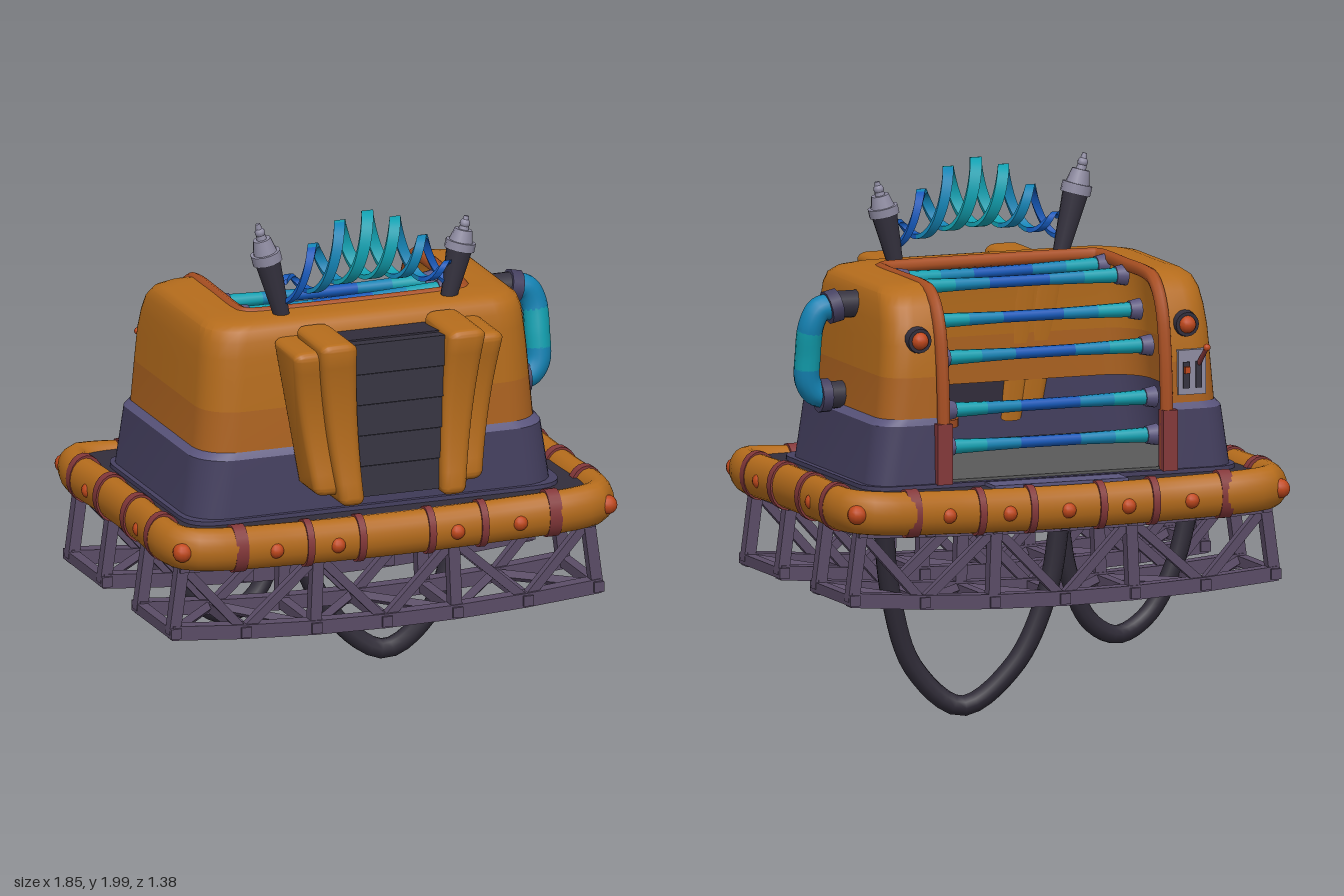
import * as THREE from 'three';
import { toCreasedNormals } from 'three/addons/utils/BufferGeometryUtils.js';

const V = (x, y, z) => new THREE.Vector3(x, y, z);
const lerp = THREE.MathUtils.lerp;
const C = {
  orange: 0xb56c1c, amber: 0xad6320, rust: 0xa6581f, trim: 0xa84f22, band: 0x84383a, bulb: 0xc0481c, purple: 0x454060,
  lilac: 0x5b567e, deck: 0x322e3c, truss: 0x5a4c66, hose: 0x2f2b37, grille: 0x35323f, metal: 0x8f8ca2,
  teal: 0x12a0b0, mid: 0x1483b4, blue: 0x1558b8, floor: 0x5a5a5a,
};

export function createModel() {
  const root = new THREE.Group();
  const add = (name, geo, color, opt = {}) => {
    const m = new THREE.Mesh(geo, new THREE.MeshStandardMaterial({ color, ...opt }));
    m.name = name;
    root.add(m);
    return m;
  };
  const box = (name, color, w, h, d, x, y, z) => {
    const m = add(name, new THREE.BoxGeometry(w, h, d), color);
    m.position.set(x, y, z);
    return m;
  };
  // Stand an upright mesh between two points
  const span = (m, a, b) => {
    m.position.lerpVectors(a, b, 0.5);
    m.quaternion.setFromUnitVectors(V(0, 1, 0), b.clone().sub(a).normalize());
  };
  const rod = (name, color, a, b, r0, r1 = r0, sides = 12) =>
    span(add(name, new THREE.CylinderGeometry(r1, r0, a.distanceTo(b), sides), color), a, b);
  const ball = (name, color, r, x, y, z) => {
    const m = add(name, new THREE.SphereGeometry(r, 12, 8), color);
    m.position.set(x, y, z);
  };
  const tube = (name, color, pts, r, seg = 32, sides = 10, closed = false) =>
    add(name, new THREE.TubeGeometry(new THREE.CatmullRomCurve3(pts, closed), seg, r, sides, closed), color);

  // Float ring, taller than wide: sagging in the middle, pinched on each side
  const tall = 1.34, fat = 0.062;
  const bow = (t, w) => 1 - Math.min(1, (t / w) ** 2);
  const sag = x => 0.832 - 0.03 * bow(x, 0.83);
  const edgeZ = (x, s) => (s > 0 ? 0.582 - 0.02 * bow(x, 0.83) : -0.63 + 0.05 * bow(x, 0.83));
  const edgeX = z => 0.857 - 0.012 * bow(z, 0.55);
  const ring = [];
  const ts = [-0.74, -0.4, 0, 0.4, 0.74], zs = [0.47, 0.2, -0.02, -0.25, -0.51];
  const corner = (sx, z) => ring.push(V(sx * 0.825, 0.832, z));
  ts.forEach(x => ring.push(V(x, sag(x), edgeZ(x, 1))));
  corner(1, 0.55);
  zs.forEach(z => ring.push(V(edgeX(z), 0.832, z)));
  corner(1, -0.595);
  [...ts].reverse().forEach(x => ring.push(V(x, sag(x), edgeZ(x, -1))));
  corner(-1, -0.595);
  [...zs].reverse().forEach(z => ring.push(V(-edgeX(z), 0.832, z)));
  corner(-1, 0.55);
  tube('floatRing', C.orange, ring.map(p => V(p.x, p.y / tall, p.z)), fat, 120, 20, true).scale.y = tall;

  // Straps and bulbs around the float
  const strap = (x, y, z, ry, w) => {
    const m = add('strap', new THREE.CylinderGeometry(0.069, 0.069, w, 20), C.band);
    m.scale.x = tall;
    m.rotation.set(0, ry, Math.PI / 2);
    m.position.set(x, y, z);
  };
  for (const s of [1, -1]) {
    for (const x of [-0.63, -0.35, -0.14, 0.14, 0.35, 0.63]) strap(x, sag(x), edgeZ(x, s), 0, Math.abs(x) > 0.5 ? 0.05 : 0.028);
    for (const z of [-0.43, -0.17, 0.11, 0.37]) strap(s * edgeX(z), 0.832, z, Math.PI / 2, 0.04);
    for (const x of s > 0 ? [-0.49, -0.24, 0.24, 0.49] : [-0.49, -0.24, 0, 0.24, 0.49])
      ball('bulb', C.bulb, 0.03, x, sag(x) - 0.005, edgeZ(x, s) + s * 0.053);
    for (const z of [0.25, -0.28]) ball('bulb', C.bulb, 0.03, s * (edgeX(z) + 0.045), 0.83, z);
    for (const z of [0.59, -0.635]) ball('cornerBulb', C.bulb, 0.037, s * 0.855, 0.83, z);
  }

  // Hull and deck plates
  const slab = (name, color, cx, hx, z0, z1, r, y, h) => {
    const s = new THREE.Shape();
    s.moveTo(-hx + r, -z1).lineTo(hx - r, -z1).quadraticCurveTo(hx, -z1, hx, -z1 + r).lineTo(hx, -z0 - r)
      .quadraticCurveTo(hx, -z0, hx - r, -z0).lineTo(-hx + r, -z0).quadraticCurveTo(-hx, -z0, -hx, -z0 - r)
      .lineTo(-hx, -z1 + r).quadraticCurveTo(-hx, -z1, -hx + r, -z1);
    const m = add(name, new THREE.ExtrudeGeometry(s, { depth: h, bevelEnabled: false, curveSegments: 6 }), color);
    m.rotation.x = -Math.PI / 2;
    m.position.set(cx, y, 0);
  };
  slab('hullBottom', C.rust, 0, 0.84, -0.58, 0.55, 0.1, 0.79, 0.04);
  slab('deck', C.deck, 0, 0.835, -0.585, 0.55, 0.08, 0.83, 0.052);
  const cx = -0.02;
  slab('cabinSill', C.purple, cx, 0.755, -0.465, 0.475, 0.13, 0.88, 0.018);
  slab('cabinFloor', C.floor, cx, 0.7, -0.44, 0.43, 0.1, 0.89, 0.018);
  box('rearStep', C.lilac, 0.54, 0.02, 0.1, 0, 0.885, -0.515);

  // Cabin shell: open C-shaped sections, lofted upwards
  const open = 0.45;
  const section = ([y, hx, zf, zb, rf = 0.14, rb = 0.1]) => {
    const p = [[open, zb]];
    const arc = (ax, az, r, a0) => {
      for (let i = 0; i <= 6; i++) {
        const a = a0 + (i / 6) * Math.PI / 2;
        p.push([ax + r * Math.cos(a), az + r * Math.sin(a)]);
      }
    };
    arc(hx - rb, zb + rb, rb, -Math.PI / 2);
    arc(hx - rf, zf - rf, rf, 0);
    arc(-hx + rf, zf - rf, rf, Math.PI / 2);
    arc(-hx + rb, zb + rb, rb, Math.PI);
    p.push([-open, zb]);
    return p.map(([x, z]) => V(x + cx, y, z));
  };
  const loft = (name, color, rings) => {
    const n = rings[0].length, idx = [];
    for (let j = 0; j < rings.length - 1; j++)
      for (let i = 0; i < n - 1; i++) {
        const a = j * n + i, b = a + n;
        idx.push(a, b, a + 1, a + 1, b, b + 1);
      }
    const g = new THREE.BufferGeometry().setFromPoints(rings.flat());
    g.setIndex(idx);
    add(name, toCreasedNormals(g, 0.6), color, { side: THREE.DoubleSide });
  };
  loft('cabinBase', C.purple, [[0.89, 0.735, 0.458, -0.452], [1.12, 0.703, 0.448, -0.443]].map(section));
  loft('cabinBaseLip', C.lilac, [[1.12, 0.703, 0.448, -0.443], [1.145, 0.682, 0.432, -0.433]].map(section));
  loft('cabinWallLower', C.amber, [[1.12, 0.682, 0.432, -0.433], [1.3, 0.667, 0.425, -0.428]].map(section));
  const upper = [[1.3, 0.667, 0.425, -0.428], [1.42, 0.658, 0.418, -0.42], [1.5, 0.65, 0.412, -0.4], [1.56, 0.643, 0.405, -0.37],
    [1.6, 0.63, 0.39, -0.33], [1.62, 0.605, 0.37, -0.29], [1.63, 0.56, 0.34, -0.25]].map(section);
  upper.push(upper.at(-1).map(p => V(THREE.MathUtils.clamp(p.x, cx - open, cx + open), 1.631, Math.min(p.z, 0.23))));
  loft('cabinWallUpper', C.orange, upper);

  // Trim around the opening
  const side = [[0.9, -0.45], [1.15, -0.447], [1.35, -0.432], [1.48, -0.407], [1.56, -0.365], [1.603, -0.31], [1.615, -0.24], [1.615, -0.05], [1.615, 0.17]];
  const trim = [...side.map(([y, z]) => V(cx + open, y, z)), V(cx + 0.437, 1.615, 0.217), V(cx + 0.39, 1.615, 0.23),
    V(cx - 0.39, 1.615, 0.23), V(cx - 0.437, 1.615, 0.217), ...side.map(([y, z]) => V(cx - open, y, z)).reverse()];
  tube('openingTrim', C.trim, trim, 0.026, 120, 8);
  for (const s of [1, -1]) box('trimFoot', C.band, 0.06, 0.23, 0.05, cx + s * 0.455, 1.01, -0.452);

  // Glowing bars across the opening: y, z at the right end, z at the left end
  for (const [y, za, zb] of [[1.59, 0.14, 0.1], [1.58, -0.06, -0.04], [1.47, -0.2, -0.18], [1.35, -0.31, -0.31], [1.16, -0.35, -0.37], [1.02, -0.37, -0.36]]) {
    const a = V(cx - 0.44, y, za), b = V(cx + 0.42, y, zb), at = t => a.clone().lerp(b, t);
    const stops = [0.04, 0.2, 0.36, 0.64, 0.8, 0.96], rs = [0.029, 0.025, 0.022, 0.022, 0.025, 0.029];
    [C.teal, C.mid, C.blue, C.mid, C.teal].forEach((c, i) => rod('bar', c, at(stops[i]), at(stops[i + 1]), rs[i], rs[i + 1], 10));
    rod('barSocket', C.lilac, at(0), at(0.05), 0.042, 0.034);
    rod('barSocket', C.lilac, at(0.95), at(1), 0.034, 0.042);
  }

  // Stool inside
  rod('stoolPole', C.grille, V(0.27, 0.9, 0.07), V(0.27, 1.05, 0.07), 0.03);
  rod('stoolRim', C.trim, V(0.27, 1.03, 0.07), V(0.27, 1.06, 0.07), 0.1, 0.1, 20);
  rod('stoolSeat', C.purple, V(0.27, 1.05, 0.07), V(0.27, 1.07, 0.07), 0.085, 0.085, 20);

  // Front vent: slats between padded cheeks
  box('ventCore', C.deck, 0.4, 0.59, 0.16, 0, 1.28, 0.512).rotation.x = -0.08;
  for (let i = 0; i < 5; i++) box('ventSlat', C.grille, 0.4, 0.116, 0.06, 0, 1.04 + i * 0.12, 0.607).rotation.x = -0.08;
  // Side profile with a hollow front, its width tapering downwards between inner and outer edges
  const pad = (name, s, [y0, y1], zFront, [in0, out0], [in1, out1]) => {
    const b = 0.03, r = 0.035, w = 0.1;
    const p = new THREE.Shape().moveTo(0.445, y0).lineTo(zFront - r, y0).quadraticCurveTo(zFront, y0, zFront, y0 + r)
      .quadraticCurveTo(zFront - 0.06, (y0 + y1) / 2, zFront, y1 - r).quadraticCurveTo(zFront, y1, zFront - r, y1).lineTo(0.405, y1);
    const g = new THREE.ExtrudeGeometry(p, { depth: w - 2 * b, bevelSize: b, bevelThickness: b, bevelOffset: -b, bevelSegments: 4, curveSegments: 10 });
    const a = g.attributes.position;
    for (let i = 0; i < a.count; i++) {
      const y = a.getY(i), t = (y - y0) / (y1 - y0), k = (a.getZ(i) + b) / w;
      a.setXYZ(i, s * lerp(lerp(in0, in1, t), lerp(out0, out1, t), s > 0 ? 1 - k : k), y, a.getX(i));
    }
    add(name, toCreasedNormals(g, 0.8), C.orange);
  };
  for (const s of [1, -1]) {
    pad('ventInnerPad', s, [0.965, 1.605], 0.695, [0.155, 0.25], [0.185, 0.335]);
    pad('ventOuterPad', s, [1.0, 1.57], 0.645, [0.22, 0.335], [0.28, 0.425]);
  }

  // Antennas
  for (const [x0, x1, top] of [[-0.34, -0.44, 1.99], [0.325, 0.4, 1.93]]) {
    const a = V(x0, 1.61, 0.3), b = V(x1, top, 0.3), at = t => a.clone().lerp(b, t);
    rod('antennaStem', C.grille, a, at(0.63), 0.03, 0.05);
    rod('antennaCollar', C.metal, at(0.6), at(0.7), 0.058, 0.058);
    rod('antennaCap', C.metal, at(0.7), at(0.84), 0.046, 0.034);
    rod('antennaTip', C.metal, at(0.84), at(1), 0.02, 0.009);
    const bead = at(0.91);
    ball('antennaBead', C.metal, 0.02, bead.x, bead.y, bead.z);
  }

  // Two intertwined ribbons arching between the antennas
  const spiral = (t, phase, dx, dr) => {
    const h = Math.sin(Math.PI * t), r = 0.038 + 0.085 * h + dr, a = (t - 0.5) * Math.PI * 6 + phase;
    return V(-0.34 + 0.67 * t + dx * (0.6 + 0.6 * h), 1.715 + 0.15 * h + r * Math.cos(a), 0.315 - 0.75 * r * Math.sin(a));
  };
  const ribbonEdge = [[-0.02, -0.009], [-0.02, 0.009], [0.02, 0.009], [0.02, -0.009], [-0.02, -0.009]];
  for (const phase of [0, Math.PI])
    [C.blue, C.mid, C.teal, C.teal, C.mid, C.blue].forEach((c, k) => loft('spiralRibbon', c, ribbonEdge.map(([dx, dr]) =>
      Array.from({ length: 21 }, (_, i) => spiral((k + i / 20) / 6, phase, dx, dr)))));

  // Side pipe
  rod('pipeSocket', C.grille, V(0.58, 1.53, -0.03), V(0.72, 1.53, -0.03), 0.052);
  rod('pipeCollar', C.purple, V(0.69, 1.53, -0.03), V(0.735, 1.52, -0.03), 0.064);
  rod('pipeSocket', C.grille, V(0.64, 1.18, 0.02), V(0.74, 1.18, 0.02), 0.052);
  rod('pipeCollar', C.purple, V(0.71, 1.18, 0.02), V(0.75, 1.18, 0.02), 0.064);
  const pipe = new THREE.CatmullRomCurve3([V(0.71, 1.525, -0.03), V(0.765, 1.515, -0.03), V(0.795, 1.46, -0.025),
    V(0.8, 1.34, 0), V(0.795, 1.24, 0.015), V(0.765, 1.195, 0.02), V(0.73, 1.18, 0.02)]);
  [C.mid, C.teal, C.mid].forEach((c, k) =>
    tube('sidePipe', c, Array.from({ length: 9 }, (_, i) => pipe.getPointAt(Math.min(1, (k + i / 7.8) / 3))), 0.049, 16, 14));

  // Rear lamps and control panel
  for (const s of [1, -1]) {
    const x = cx + s * 0.54;
    rod('lampHousing', C.deck, V(x, 1.44, -0.39), V(x, 1.44, -0.435), 0.054, 0.046, 16);
    ball('lamp', C.bulb, 0.034, x, 1.44, -0.43);
  }
  box('controlPanel', C.metal, 0.11, 0.17, 0.03, -0.575, 1.26, -0.43);
  for (const x of [-0.55, -0.6]) box('panelSlot', C.grille, 0.025, 0.1, 0.012, x, 1.25, -0.445);
  rod('lever', C.band, V(-0.6, 1.28, -0.435), V(-0.61, 1.36, -0.505), 0.009);
  ball('leverKnob', C.bulb, 0.014, -0.61, 1.36, -0.505);
  box('panelSwitch', C.bulb, 0.02, 0.025, 0.025, -0.55, 1.27, -0.45);

  // Two lattice girders under the hull
  const low = x => 0.497 - 0.045 * bow(x, 0.87);
  for (const [z0, z1] of [[0.165, 0.505], [-0.545, -0.21]]) {
    const n = 6, X = i => -0.86 + i * 1.7 / n;
    const top = (i, z) => V(X(i) * 0.96, 0.75 - 0.02 * bow(X(i), 0.86), z), bot = (i, z) => V(X(i), low(X(i)), z);
    const beam = (a, b, w) => span(add('girderBeam', new THREE.BoxGeometry(w, a.distanceTo(b) + w * 0.4, w), C.truss), a, b);
    for (let i = 0; i <= n; i++) {
      const odd = i % 2;
      for (const z of [z0, z1]) {
        if (!odd) beam(top(i, z), bot(i, z), 0.045);
        if (i === n) continue;
        beam(top(i, z), top(i + 1, z), 0.045);
        beam(bot(i, z), bot(i + 1, z), 0.055);
        beam(odd ? bot(i, z) : top(i, z), odd ? top(i + 1, z) : bot(i + 1, z), 0.034);
      }
      beam(bot(i, z0 - 0.03), bot(i, z1 + 0.03), 0.04);
      beam(top(i, z0 - 0.03), top(i, z1 + 0.03), 0.035);
      if (i < n) beam(bot(i, odd ? z0 : z1), bot(i + 1, odd ? z1 : z0), 0.03);
    }
  }

  // Hanging hoses
  tube('hose', C.hose, [V(-0.62, 0.78, -0.33), V(-0.55, 0.52, -0.33), V(-0.44, 0.33, -0.33), V(-0.31, 0.265, -0.345),
    V(-0.19, 0.33, -0.36), V(-0.1, 0.52, -0.38), V(-0.05, 0.78, -0.4)], 0.036, 40);
  tube('hose', C.hose, [V(-0.04, 0.78, -0.46), V(0.01, 0.47, -0.45), V(0.14, 0.19, -0.435), V(0.34, 0.04, -0.4),
    V(0.52, 0.19, -0.37), V(0.62, 0.47, -0.39), V(0.67, 0.78, -0.43)], 0.039, 40);

  return root;
}
